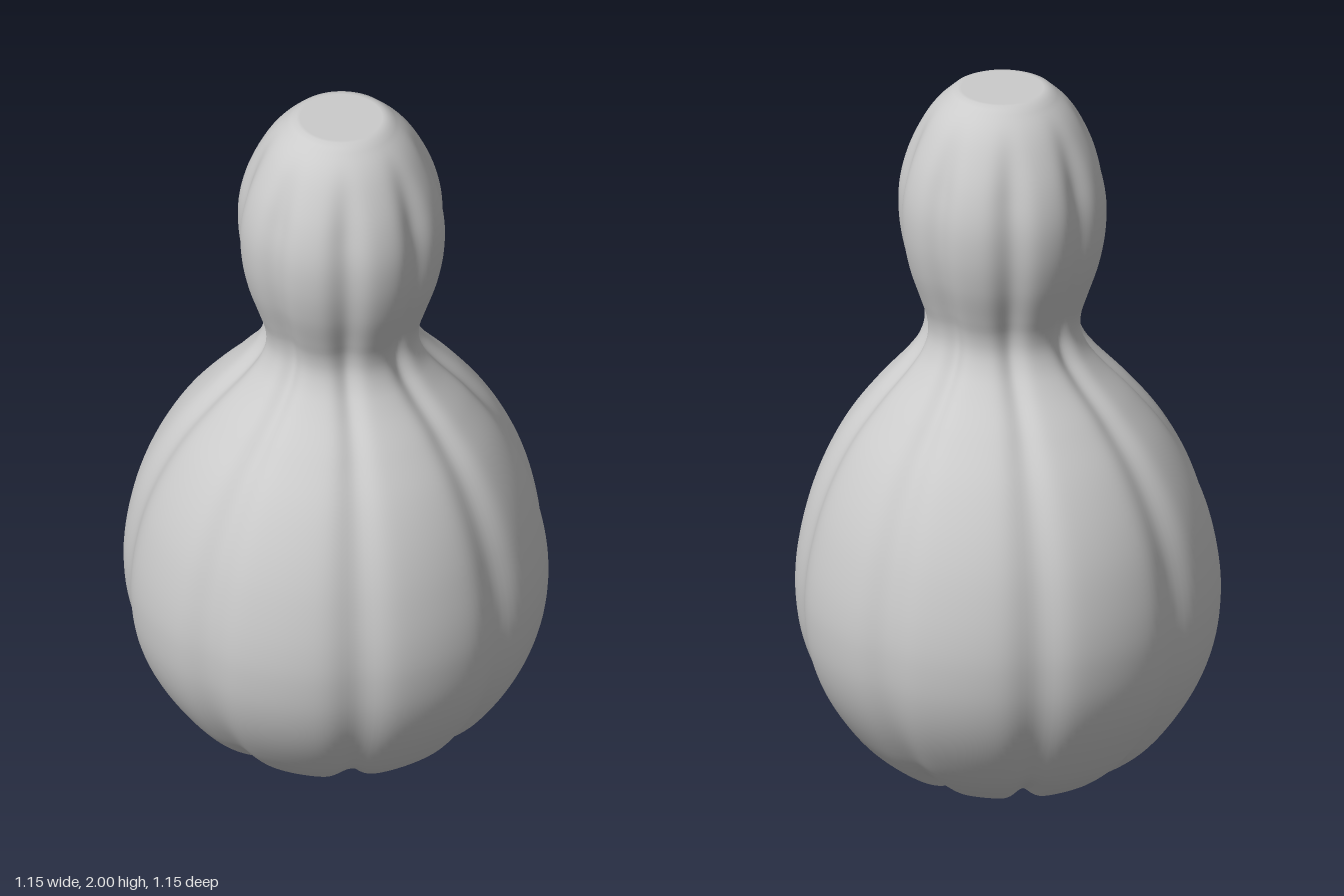
import * as THREE from 'three';
import { mergeVertices } from 'three/addons/utils/BufferGeometryUtils.js';

const LOBES = 8;
const smooth = THREE.MathUtils.smoothstep;

// Gourd silhouette as [radius, height], from the base dimple to the stem rim
const PROFILE = [
  [0, 0.035], [0.1, 0.025], [0.19, 0.006], [0.24, 0.002], [0.295, 0.022], [0.4, 0.1],
  [0.48, 0.2], [0.535, 0.3], [0.567, 0.4], [0.58, 0.51], [0.577, 0.6], [0.561, 0.7],
  [0.534, 0.8], [0.493, 0.9], [0.436, 1.0], [0.358, 1.1], [0.268, 1.2], [0.233, 1.25],
  [0.216, 1.3], [0.219, 1.35], [0.235, 1.4], [0.268, 1.5], [0.286, 1.6], [0.286, 1.7],
  [0.263, 1.8], [0.217, 1.9], [0.182, 1.95], [0.137, 1.993],
];

// Gaussian groove strength, 1 along each crease between lobes
function groove(angle, width) {
  const step = (Math.PI * 2) / LOBES;
  const d = angle - Math.round(angle / step) * step;
  return Math.exp(-((d / width) ** 2));
}

function createBody() {
  const curve = new THREE.CatmullRomCurve3(
    PROFILE.map(([r, y]) => new THREE.Vector3(r, y, 0)), false, 'centripetal');
  const points = curve.getSpacedPoints(150).map(p => new THREE.Vector2(Math.max(p.x, 0), p.y));
  // Flat cut at the top
  points.push(new THREE.Vector2(0.122, 2), new THREE.Vector2(0.112, 2), new THREE.Vector2(0, 2));

  let geo = new THREE.LatheGeometry(points, 192);
  const pos = geo.attributes.position;
  for (let i = 0; i < pos.count; i++) {
    const x = pos.getX(i), y = pos.getY(i), z = pos.getZ(i);
    const r = Math.hypot(x, z), angle = Math.atan2(z, x);
    const upper = smooth(y, 1.1, 1.4);
    // Creases swing slightly round the belly and straighten on the neck
    const g = groove(angle + 0.06 * (1 - upper), THREE.MathUtils.lerp(0.11, 0.16, upper));
    const fade = (1 - smooth(y, 1.75, 1.99)) * smooth(r, 0.02, 0.2);
    const newR = r - THREE.MathUtils.lerp(0.021, 0.02, upper) * g * fade;
    // Creases continue under the base
    const lift = 0.022 * g * smooth(r, 0.02, 0.15) * (1 - smooth(y, 0, 0.15));
    // The neck leans a little off centre
    const lean = smooth(y, 0.7, 1.35);
    pos.setXYZ(i, Math.cos(angle) * newR + 0.014 * lean, y + lift,
      Math.sin(angle) * newR + 0.012 * lean);
  }
  // Weld the seam so the shading runs smoothly all round
  geo.deleteAttribute('uv');
  geo.deleteAttribute('normal');
  geo = mergeVertices(geo, 1e-5);
  geo.computeVertexNormals();
  return geo;
}

export function createModel() {
  const model = new THREE.Group();
  model.name = 'gourd';
  const body = new THREE.Mesh(createBody(), new THREE.MeshStandardMaterial({ color: 0xcccccc }));
  body.name = 'ribbedGourdBody';
  model.add(body);
  return model;
}
